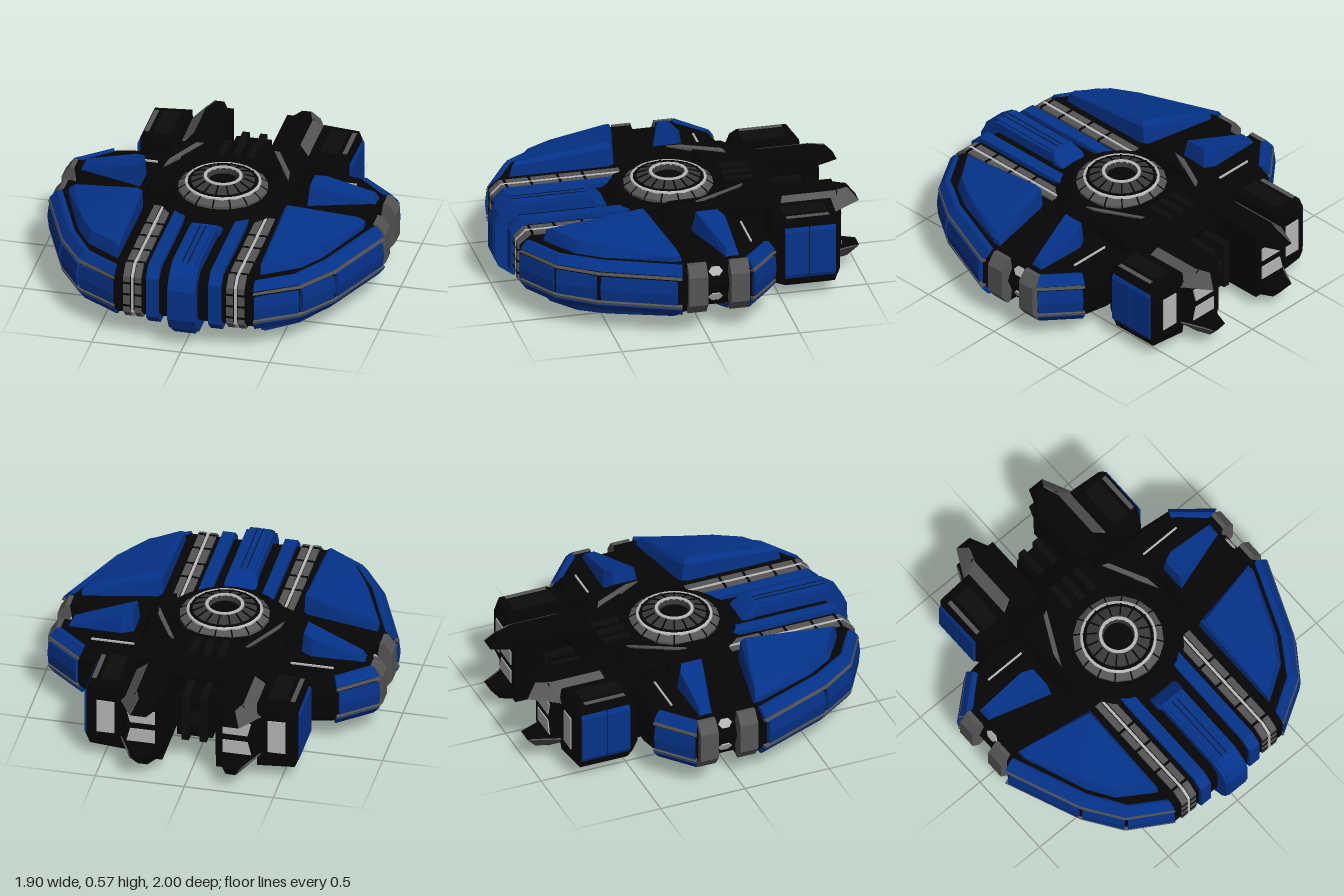
import * as THREE from 'three';
import { ConvexGeometry } from 'three/addons/geometries/ConvexGeometry.js';

const MID = 0.285; // the ship is symmetric above and below this height
const paint = (color) => new THREE.MeshStandardMaterial({ color, flatShading: true });
const BLUE = paint(0x05338a), BLACK = paint(0x050505), DARK = paint(0x0c0c0c);
const GREY = paint(0x555555), STEEL = paint(0x383838), LIGHT = paint(0xb8b8b8);

export function createModel() {
  const ship = new THREE.Group();
  ship.name = 'spaceship';
  ship.position.y = MID;
  const model = new THREE.Group();
  model.name = 'model';
  model.add(ship);

  // Convex solid from [x, h, z] points, mirrored left/right (X) and top/bottom (Y)
  function solid(name, pts, mat, mirror = '') {
    for (const sx of mirror.includes('X') ? [1, -1] : [1]) {
      for (const sy of mirror.includes('Y') ? [1, -1] : [1]) {
        const geo = new ConvexGeometry(pts.map(([x, h, z]) => new THREE.Vector3(x * sx, h * sy, z)));
        const mesh = new THREE.Mesh(geo, mat);
        mesh.name = name;
        ship.add(mesh);
      }
    }
  }
  const both = (pts) => pts.flatMap(([x, h, z]) => [[x, h, z], [x, -h, z]]);
  const box = (name, x0, x1, h0, h1, z0, z1, mat, mirror) => solid(name,
    [x0, x1].flatMap((x) => [h0, h1].flatMap((h) => [z0, z1].map((z) => [x, h, z]))), mat, mirror);
  // Lengthwise bar with a [z, h] outline, running over the top, nose and underside
  const bar = (name, x0, x1, prof, mat, mirror) => solid(name,
    both(prof.flatMap(([z, h]) => [[x0, h, z], [x1, h, z]])), mat, mirror);

  // Main hull: front half, recessed waist and rear half
  const wide = (list, h) => list.flatMap(([x, z]) => [[x, h, z], [-x, h, z]]);
  const hull = (name, deck, edge) => solid(name, both([...wide(deck, 0.143), ...wide(edge, 0.085)]), BLACK);
  hull('frontHull', [[0.39, 0.87], [0.58, 0.75], [0.72, 0.55], [0.88, 0.14], [0.87, 0.1]],
    [[0.39, 0.92], [0.61, 0.78], [0.76, 0.57], [0.925, 0.15], [0.89, 0.1]]);
  solid('waistHull', both([[0.82, 0.143], [0.845, 0.105], [0.872, 0.045], [0.89, 0.002]].flatMap(([x, h]) =>
    wide([[x, 0.12], [x, -0.23]], h))), BLACK);
  hull('rearHull', [[0.86, -0.22], [0.69, -0.38], [0.55, -0.41]], [[0.9, -0.23], [0.91, -0.26], [0.72, -0.42], [0.55, -0.44]]);

  // Rim armour bands; d = 0 is the outer edge, d = 1 the deck edge
  const at = (a, b, t) => a.map((v, i) => v + (b[i] - v) * t);
  function rim(outer, inner) {
    const p = (i, t, d, h) => {
      const [x, z] = at(at(outer[i], outer[i + 1], t), at(inner[i], inner[i + 1], t), d);
      return [x, h, z];
    };
    const band = (name, i, t0, t1, prof, mat) => solid(name, [t0, t1].flatMap((t) =>
      prof.flatMap(([d, h]) => [p(i, t, d, h), p(i, t, d + 0.5, h * 0.9)])), mat, 'XY');
    for (let i = 0; i < outer.length - 1; i++) {
      band('rimChamfer', i, 0, 1, [[0.9, 0.149], [0.65, 0.147], [0.12, 0.102]], BLUE);
      band('rimTrim', i, 0, 1, [[0.08, 0.095], [0.02, 0.082]], GREY);
      band('rimPanel', i, 0.03, 0.95, [[0.02, 0.07], [-0.1, 0.001]], BLUE);
    }
  }
  rim([[0.39, 0.935], [0.63, 0.79], [0.775, 0.58], [0.95, 0.15]], [[0.39, 0.87], [0.58, 0.75], [0.71, 0.55], [0.88, 0.13]]);
  rim([[0.935, -0.26], [0.73, -0.435]], [[0.87, -0.23], [0.7, -0.375]]);

  // Side clamps with hexagonal lights on the waist between them
  for (const [z0, z1] of [[0.0, 0.105], [-0.235, -0.13]]) {
    solid('sideClamp', both([z0, z1].flatMap((z) =>
      [[0.87, 0.146, z], [0.895, 0.146, z], [0.94, 0.085, z], [0.86, 0.08, z]])), GREY, 'X');
    box('clampBase', 0.7, 0.875, -0.144, 0.144, z0 + 0.004, z1 - 0.004, BLACK, 'X');
  }
  solid('sideLight', Array.from({ length: 6 }, (_, i) => i * Math.PI / 3).flatMap((a) =>
    [-0.01, 0.005].map((o) => [0.859 + o - 0.013 * Math.sin(a), 0.077 + o * 0.4 + 0.027 * Math.sin(a), -0.06 + 0.04 * Math.cos(a)])), LIGHT, 'XY');

  // Raised blue armour plates with narrow bevels and a sloping crown
  solid('frontWingPlate', [
    [0.4, 0.14, 0.8], [0.435, 0.14, 0.78], [0.6, 0.14, 0.67], [0.69, 0.14, 0.53], [0.83, 0.14, 0.17], [0.83, 0.14, 0.12], [0.4, 0.14, 0.21],
    [0.83, 0.175, 0.17], [0.83, 0.175, 0.13],
    [0.4, 0.205, 0.785], [0.42, 0.222, 0.765], [0.585, 0.212, 0.65], [0.67, 0.208, 0.51], [0.8, 0.2, 0.17], [0.795, 0.203, 0.145],
    [0.4, 0.255, 0.225], [0.42, 0.283, 0.245]], BLUE, 'XY');
  solid('rearWingPlate', [
    [0.47, 0.14, -0.015], [0.83, 0.14, -0.125], [0.835, 0.14, -0.2], [0.53, 0.14, -0.205], [0.47, 0.14, -0.17],
    [0.48, 0.26, -0.04], [0.81, 0.18, -0.135], [0.81, 0.18, -0.19], [0.54, 0.245, -0.19], [0.48, 0.26, -0.16]], BLUE, 'XY');
  box('deckLine', 0.44, 0.68, 0.14, 0.152, -0.307, -0.297, LIGHT, 'XY');

  // Nose: centre prow, blue side bars and grey rails
  bar('noseBody', -0.39, 0.39, [[0, 0.15], [0.86, 0.15], [0.92, 0.1]], BLACK);
  bar('prow', -0.077, 0.077, [[0.37, 0.15], [0.45, 0.21], [0.88, 0.21], [0.96, 0.155], [0.995, 0.09]], BLUE);
  solid('prowCap', both([-1, 1].flatMap((s) => [[0.08 * s, 0.15, 0.36], [0.09 * s, 0.17, 0.38], [0.09 * s, 0.18, 0.43],
    [0.07 * s, 0.222, 0.45], [0.06 * s, 0.205, 0.49]])), BLUE);
  bar('prowRidge', -0.06, 0.06, [[0.4, 0.16], [0.46, 0.22], [0.89, 0.22], [0.97, 0.16], [1, 0.09]], BLUE);
  bar('prowGroove', 0.014, 0.018, [[0.47, 0.222], [0.89, 0.222], [0.9, 0.21]], DARK, 'X');
  bar('noseBar', 0.14, 0.21, [[0.22, 0.178], [0.88, 0.178], [0.94, 0.12]], BLUE, 'X');
  const rail = (o) => [[0.2, 0.162 + o], [0.875 + o, 0.162 + o], [0.93 + o, 0.11]];
  bar('railInner', 0.24, 0.277, rail(0), GREY, 'X');
  bar('railOuter', 0.303, 0.34, rail(0), GREY, 'X');
  bar('railLight', 0.283, 0.297, rail(0), LIGHT, 'X');
  for (const z of [0.4, 0.54, 0.7, 0.84]) {
    for (const x of [0.238, 0.301]) bar('railJoint', x, x + 0.041, [[z, 0.165], [z + 0.014, 0.165]], BLACK, 'X');
  }
  for (const h of [0, 0.07]) {
    for (const x of [0.238, 0.301]) box('railJoint', x, x + 0.041, h - 0.006, h + 0.006, 0.88, 0.933, BLACK, 'XY');
  }

  // Core: stepped collar and turret, above and below
  function lathe(name, list, segs, mat) {
    const geo = new THREE.LatheGeometry(list.map(([r, h]) => new THREE.Vector2(r, h)), segs);
    for (const turn of [0, Math.PI]) {
      const mesh = new THREE.Mesh(geo, mat);
      mesh.name = name;
      mesh.rotation.x = turn;
      ship.add(mesh);
    }
  }
  lathe('collar', [[0.48, 0.13], [0.46, 0.152], [0.37, 0.155], [0.35, 0.17], [0.3, 0.205], [0.275, 0.22], [0.265, 0.205], [0.24, 0.205]], 24, BLACK);
  lathe('turretSkirt', [[0.25, 0.19], [0.25, 0.22], [0.208, 0.247], [0.195, 0.245]], 16, GREY);
  lathe('turretDome', [[0.196, 0.247], [0.115, 0.278], [0.09, 0.28], [0.08, 0.24]], 16, STEEL);
  lathe('outerLightRing', [[0.212, 0.24], [0.209, 0.251], [0.197, 0.254], [0.193, 0.245]], 32, LIGHT);
  lathe('innerLightRing', [[0.108, 0.276], [0.106, 0.285], [0.09, 0.285], [0.087, 0.265]], 32, LIGHT);
  lathe('turretStep', [[0.194, 0.245], [0.192, 0.253], [0.178, 0.258], [0.174, 0.25]], 32, BLACK);
  lathe('turretWell', [[0.09, 0.25], [0, 0.25]], 24, BLACK);
  for (let i = 0; i < 16; i++) {
    const a = (i / 16) * Math.PI * 2, c = Math.cos(a), s = Math.sin(a);
    solid('turretSeam', [-0.004, 0.004].flatMap((w) =>
      [[0.25, 0.223], [0.2, 0.252], [0.115, 0.282], [0.115, 0.25], [0.25, 0.2]].map(([r, h]) =>
        [r * c - w * s, h, r * s + w * c])), BLACK, 'Y');
  }

  // Raised shoulders beside and behind the turret
  solid('sideShoulder', both([[0.27, 0.24, -0.2], [0.28, 0.24, 0.06], [0.3, 0.22, 0.14], [0.39, 0.2, 0.12], [0.37, 0.252, 0.06],
    [0.39, 0.235, 0.06], [0.39, 0.235, -0.2], [0.37, 0.255, -0.2], [0.43, 0.14, -0.2], [0.43, 0.14, 0.1]]), BLACK, 'X');
  solid('rearShoulder', both([
    [0.16, 0.22, -0.24], [0.39, 0.235, -0.16], [0.37, 0.255, -0.18], [0.29, 0.255, -0.2],
    [0.2, 0.255, -0.28], [0.16, 0.255, -0.38], [0.36, 0.25, -0.38], [0.4, 0.2, -0.42],
    [0.38, 0.18, -0.5], [0.16, 0.18, -0.52]]), BLACK, 'X');
  solid('rearSpine', both([-1, 1].flatMap((s) => [[0.2 * s, 0.19, -0.1], [0.2 * s, 0.235, -0.3],
    [0.18 * s, 0.23, -0.45], [0.16 * s, 0.16, -0.58]])), BLACK);
  solid('collarFin', [[0.2, 0.23, -0.37], [0.25, 0.23, -0.3], [0.35, 0.23, -0.07], [0.335, 0.23, -0.1],
    [0.2, 0.262, -0.37], [0.235, 0.268, -0.355], [0.34, 0.262, -0.15], [0.35, 0.26, -0.07], [0.25, 0.262, -0.29]], GREY, 'XY');
  for (const x of [0, 0.08]) box('spineRib', x - 0.02, x + 0.02, 0.15, 0.242, -0.46, -0.3, DARK, 'XY');

  // Tail block between the engines
  box('tailBlock', -0.1, 0.1, -0.12, 0.12, -0.735, -0.5, BLACK);
  box('tailRib', 0.03, 0.07, -0.14, 0.14, -0.755, -0.52, DARK, 'X');
  box('tailVent', -0.06, 0.06, -0.04, 0.04, -0.745, -0.7, DARK);

  // Engines: core, pronged cowls and glowing exhausts
  solid('engineCore', both([[0.15, 0.13, -0.4], [0.39, 0.13, -0.4], [0.39, 0.13, -0.83], [0.36, 0.13, -0.885], [0.15, 0.13, -0.885]]), BLACK, 'X');
  solid('engineCowl', [[0.15, 0.11, -0.42], [0.39, 0.11, -0.42], [0.3, 0.205, -0.47], [0.15, 0.205, -0.47],
    [0.15, 0.11, -0.88], [0.15, 0.205, -0.88], [0.39, 0.11, -0.84], [0.3, 0.205, -0.88]], BLACK, 'XY');
  solid('cowlProng', [[0.17, 0.205, -0.85], [0.3, 0.205, -0.85], [0.22, 0.205, -0.945], [0.27, 0.205, -0.945],
    [0.17, 0.13, -0.88], [0.38, 0.12, -0.85], [0.215, 0.135, -1], [0.305, 0.135, -1]], BLACK, 'XY');
  solid('cowlSlope', [[0.3, 0.2, -0.56], [0.385, 0.115, -0.53], [0.39, 0.115, -0.84], [0.3, 0.2, -0.86],
    [0.3, 0.208, -0.57], [0.397, 0.119, -0.54], [0.397, 0.119, -0.83], [0.3, 0.208, -0.87]], GREY, 'XY');
  solid('prongSlope', [[0.295, 0.2, -0.85], [0.39, 0.115, -0.83], [0.3, 0.135, -0.998], [0.265, 0.203, -0.94],
    [0.3, 0.208, -0.86], [0.397, 0.119, -0.83], [0.31, 0.137, -1], [0.275, 0.208, -0.94]], GREY, 'XY');
  solid('engineExhaust', [-0.87, -0.891].flatMap((z) => [[0.19, 0.02, z], [0.33, 0.02, z],
    [0.35, 0.1, z], [0.19, 0.1, z]]), LIGHT, 'XY');

  // Outer engine pods
  solid('enginePod', both([[0.37, 0.2, -0.46], [0.53, 0.2, -0.47], [0.55, 0.13, -0.45], [0.37, 0.15, -0.44],
    [0.59, 0.16, -0.52], [0.595, 0.15, -0.8], [0.575, 0.2, -0.52], [0.575, 0.2, -0.8], [0.57, 0.13, -0.83], [0.37, 0.2, -0.825],
    [0.37, 0.13, -0.835]]), BLACK, 'X');
  box('podTopPanel', 0.42, 0.52, 0.19, 0.206, -0.77, -0.52, DARK, 'XY');
  box('podTrim', 0.545, 0.57, 0.19, 0.204, -0.77, -0.53, GREY, 'XY');
  for (const [z0, z1] of [[-0.648, -0.515], [-0.8, -0.652]]) {
    solid('podPanel', both([z0, z1].flatMap((z) => [[0.57, 0.15, z], [0.605, 0.13, z], [0.595, 0.152, z]])), BLUE, 'X');
  }
  box('podExhaust', 0.43, 0.53, -0.1, 0.1, -0.838, -0.8, LIGHT, 'X');
  return model;
}
